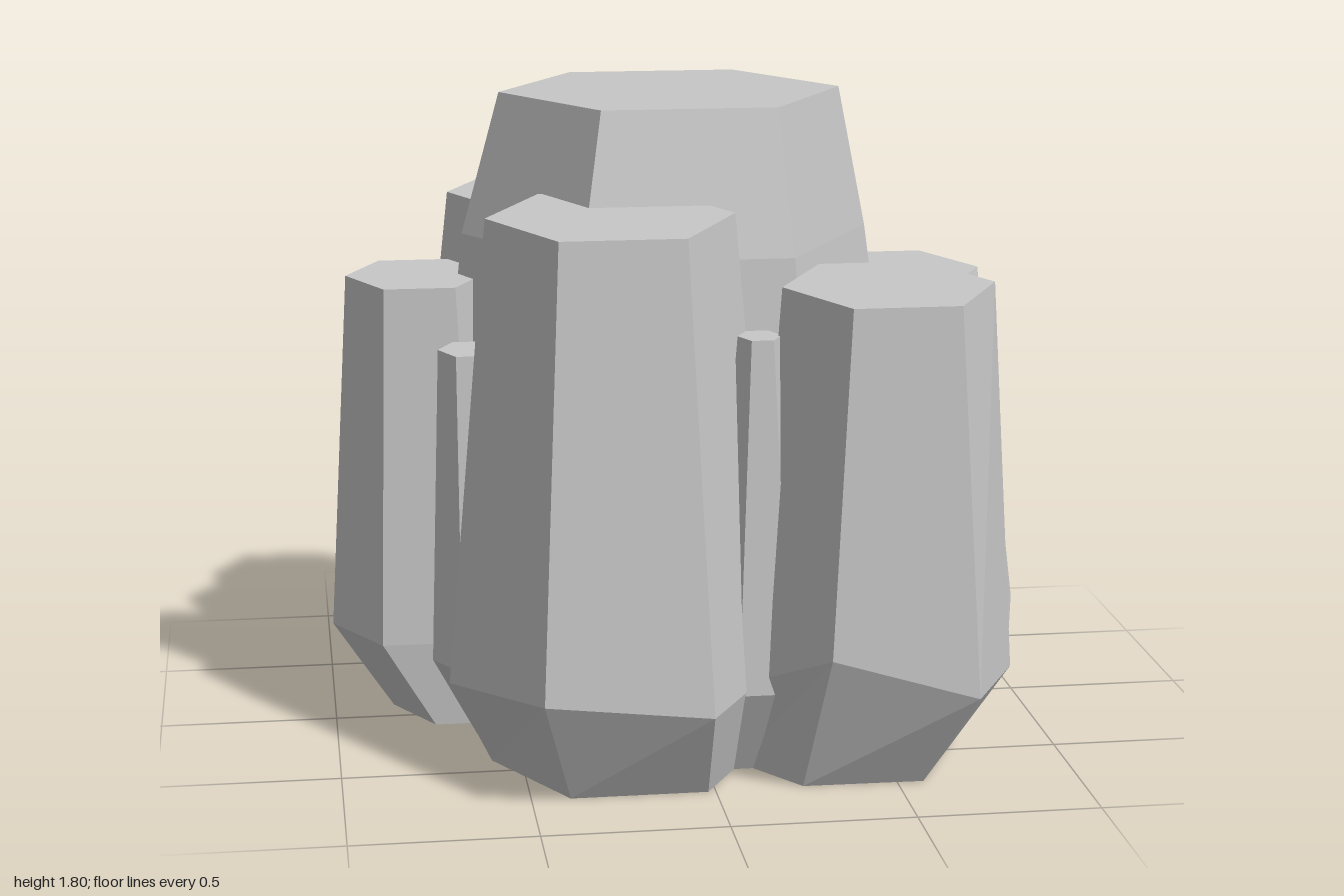
import * as THREE from 'three';

const BASE_SCALE = 0.83; // the foot tapers toward the middle of the cluster
const TILT = 0.05;       // tops of the outer columns slope down to the front

// Skin of stacked rings, each anticlockwise seen from above, closed at both ends.
function columnGeometry(rings) {
  const points = [];
  const bottom = rings[0], top = rings[rings.length - 1];
  const n = bottom.length;
  for (let r = 0; r < rings.length - 1; r++) {
    const low = rings[r], high = rings[r + 1];
    for (let i = 0; i < n; i++) {
      const j = (i + 1) % n;
      points.push(low[i], low[j], high[j], low[i], high[j], high[i]);
    }
  }
  for (let i = 1; i < n - 1; i++) {
    points.push(top[0], top[i], top[i + 1], bottom[0], bottom[i + 1], bottom[i]);
  }
  const geometry = new THREE.BufferGeometry().setFromPoints(points);
  geometry.computeVertexNormals();
  return geometry;
}

// Corners in order: right, back right, back left, left, front left, front right.
const hexagon = ([x, z, radius], y, tilt = 0) => Array.from({ length: 6 }, (_, i) => {
  const a = i * Math.PI / 3;
  const dz = -radius * Math.sin(a);
  return new THREE.Vector3(x + radius * Math.cos(a), y - tilt * dz, z + dz);
});

// Outer columns: waist and top are hexagons [x, z, radius];
// drag moves single waist corners to where neighbouring columns merge.
const COLUMNS = [
  { name: 'frontLeftColumn', waist: [-0.25, 0.5, 0.45], waistY: 0.26, top: [-0.25, 0.49, 0.335], topY: 1.54,
    drag: { 4: [-0.475, 0.31, 0.89] } },
  { name: 'frontRightColumn', waist: [0.49, 0.54, 0.4], waistY: 0.28, top: [0.49, 0.57, 0.29], topY: 1.35,
    drag: { 0: [0.86, 0.25, 0.53], 3: [0.11, 0.27, 0.63], 4: [0.29, 0.4, 0.88] } },
  { name: 'rightColumn', waist: [0.62, -0.03, 0.38], waistY: 0.28, top: [0.62, -0.01, 0.25], topY: 1.28,
    drag: { 5: [0.85, 0.25, 0.53] } },
  { name: 'backRightSliver', waist: [0.31, -0.68, 0.175], waistY: 0.3, top: [0.34, -0.69, 0.115], topY: 1.28,
    drag: { 1: [0.41, 0.36, -0.81], 2: [0.22, 0.33, -0.78], 3: [0.08, 0.28, -0.69] } },
  { name: 'backLeftColumn', waist: [-0.37, -0.57, 0.385], waistY: 0.25, top: [-0.37, -0.57, 0.25], topY: 1.44,
    drag: { 0: [-0.02, 0.25, -0.65] } },
  { name: 'leftColumn', waist: [-0.73, -0.12, 0.27], waistY: 0.25, top: [-0.74, -0.09, 0.2], topY: 1.285,
    drag: { 1: [-0.54, 0.25, -0.35], 2: [-0.72, 0.25, -0.41] } },
  { name: 'leftSliver', waist: [-0.58, 0.23, 0.15], waistY: 0.24, top: [-0.61, 0.22, 0.09], topY: 1.13 },
  { name: 'frontSliver', waist: [0.14, 0.57, 0.14], waistY: 0.25, top: [0.14, 0.57, 0.06], topY: 1.22 },
];

export function createModel() {
  const group = new THREE.Group();
  group.name = 'rockColumns';
  const stone = new THREE.MeshStandardMaterial({ color: 0xc6c6c6 });
  stone.name = 'grey stone';

  const addColumn = (name, rings) => {
    const base = rings[0].map((p) => new THREE.Vector3(p.x * BASE_SCALE, 0, p.z * BASE_SCALE));
    const mesh = new THREE.Mesh(columnGeometry([base, ...rings]), stone);
    mesh.name = name;
    group.add(mesh);
  };

  // Tall central column with a slight shoulder
  addColumn('centralColumn', [
    hexagon([-0.01, -0.08, 0.72], 0.25),
    hexagon([-0.03, -0.08, 0.58], 1.4),
    hexagon([-0.015, -0.08, 0.485], 1.8),
  ]);

  // Shorter columns and slivers around it
  for (const { name, waist, waistY, top, topY, drag = {} } of COLUMNS) {
    const waistRing = hexagon(waist, waistY);
    for (const corner in drag) waistRing[corner].set(...drag[corner]);
    addColumn(name, [waistRing, hexagon(top, topY, TILT)]);
  }
  return group;
}
